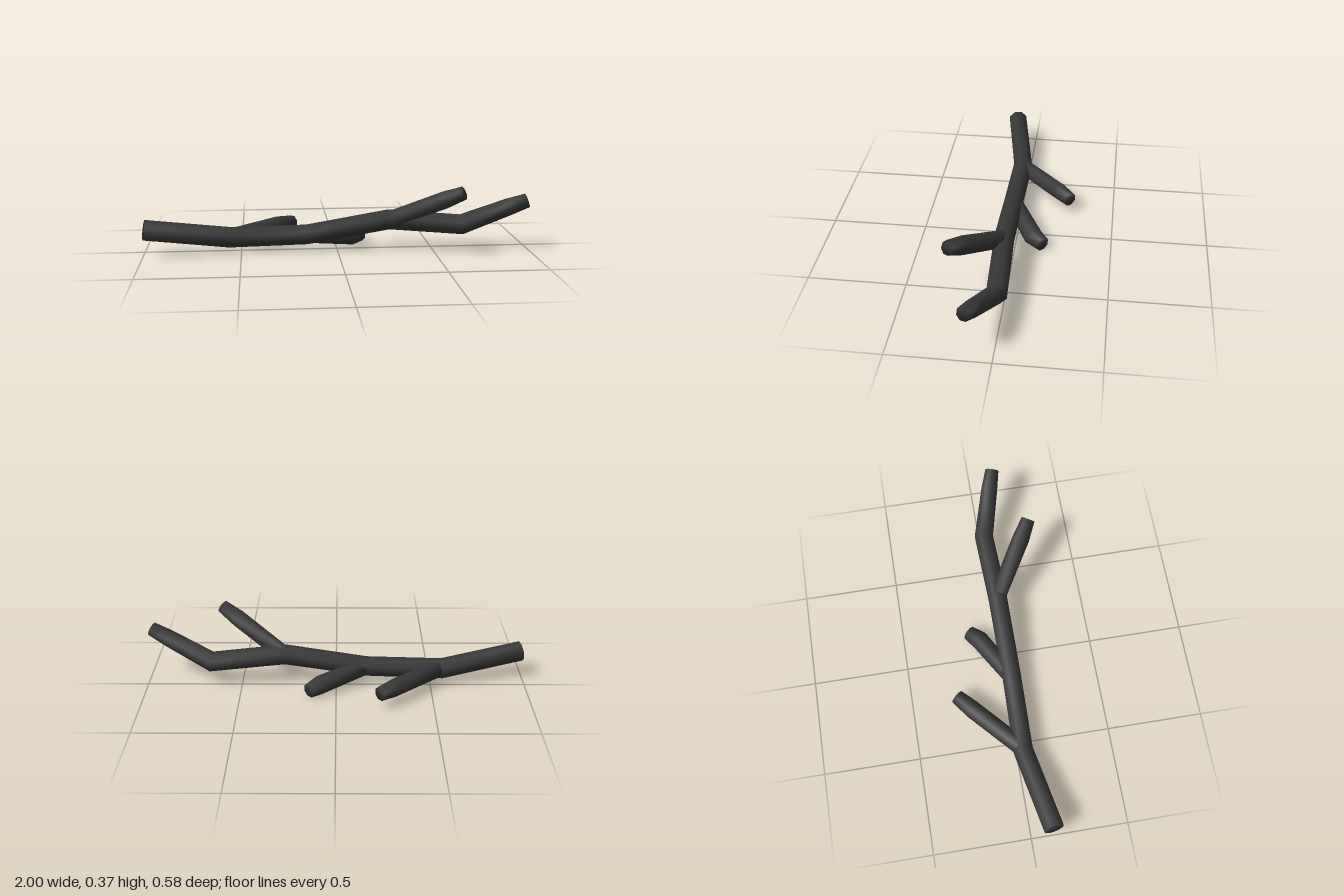
import * as THREE from 'three';

const SIDES = 8;
const bark = new THREE.MeshStandardMaterial({ color: 0x383838 });

// Octagonal limb through nodes [x, y, z, radius], mitred at each bend, with closed ends
function limb(name, nodes) {
  const pts = nodes.map(([x, y, z]) => new THREE.Vector3(x, y, z));
  const last = pts.length - 1;
  const pos = [], idx = [];
  const dir = (i) => pts[i + 1].clone().sub(pts[i]).normalize();

  // One ring per node, square to the averaged direction
  pts.forEach((p, i) => {
    const t = i === 0 ? dir(0) : i === last ? dir(last - 1) : dir(i - 1).add(dir(i)).normalize();
    const side = new THREE.Vector3(0, 1, 0).cross(t).normalize();
    const up = new THREE.Vector3().crossVectors(t, side);
    for (let s = 0; s < SIDES; s++) {
      const a = ((s + 0.5) / SIDES) * Math.PI * 2;
      const v = p.clone()
        .addScaledVector(side, Math.cos(a) * nodes[i][3])
        .addScaledVector(up, Math.sin(a) * nodes[i][3]);
      pos.push(v.x, v.y, v.z);
    }
  });
  for (let i = 0; i < last; i++) {
    for (let s = 0; s < SIDES; s++) {
      const a = i * SIDES + s, b = i * SIDES + (s + 1) % SIDES;
      idx.push(a, b, a + SIDES, b, b + SIDES, a + SIDES);
    }
  }

  // End caps share the rim vertices, so the ends shade softly
  const tip = last * SIDES;
  for (let s = 1; s < SIDES - 1; s++) {
    idx.push(0, s + 1, s, tip, tip + s, tip + s + 1);
  }

  const geo = new THREE.BufferGeometry();
  geo.setAttribute('position', new THREE.Float32BufferAttribute(pos, 3));
  geo.setIndex(idx);
  geo.computeVertexNormals();
  const mesh = new THREE.Mesh(geo, bark);
  mesh.name = name;
  return mesh;
}

export function createModel() {
  const group = new THREE.Group();
  group.name = 'branch';

  // Main stem, running the whole length
  group.add(limb('mainStem', [
    [-0.99, 0.15, 0.112, 0.053],
    [-0.56, 0.085, 0.033, 0.054],
    [-0.16, 0.094, 0.041, 0.052],
    [0.27, 0.165, 0.036, 0.053],
    [0.66, 0.128, 0.023, 0.054],
    [0.89, 0.232, 0.092, 0.046],
    [0.983, 0.272, 0.122, 0.038],
  ]));

  // Side twigs, each starting inside the stem at one of its bends
  group.add(limb('rearTwig', [
    [-0.54, 0.086, 0.025, 0.046],
    [-0.3, 0.093, -0.195, 0.047],
    [-0.222, 0.092, -0.261, 0.038],
  ]));
  group.add(limb('lowTwig', [
    [-0.15, 0.092, 0.035, 0.045],
    [0.085, 0.051, -0.092, 0.05],
    [0.14, 0.046, -0.145, 0.039],
  ]));
  group.add(limb('frontTwig', [
    [0.28, 0.168, 0.04, 0.045],
    [0.53, 0.298, 0.205, 0.047],
    [0.615, 0.342, 0.258, 0.037],
  ]));
  return group;
}
